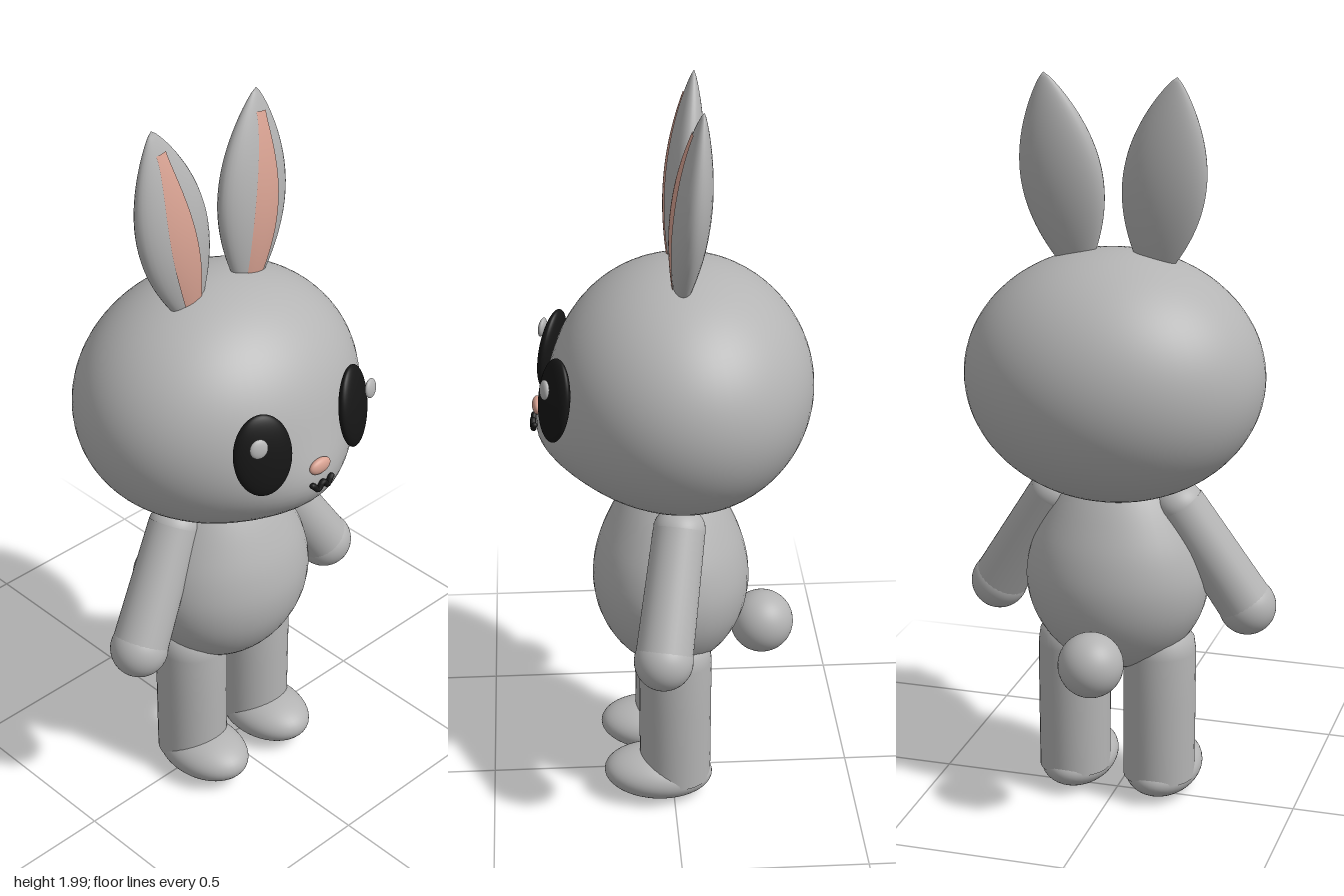
import * as THREE from 'three';
import { mergeVertices } from 'three/addons/utils/BufferGeometryUtils.js';

const mat = (name, color) => {
  const m = new THREE.MeshStandardMaterial({ color });
  m.name = name;
  return m;
};

export function createModel() {
  const grey = mat('grey fur', 0xb4b4b4);
  const pink = mat('pink skin', 0xd8a292);
  const black = mat('black', 0x161616);
  const model = new THREE.Group();
  model.name = 'rabbit';

  const add = (name, geometry, material, pos = [0, 0, 0], parent = model) => {
    const mesh = new THREE.Mesh(geometry, material);
    mesh.name = name;
    mesh.position.set(...pos);
    parent.add(mesh);
    return mesh;
  };
  const ellipsoid = (rx, ry, rz) => new THREE.SphereGeometry(1, 40, 28).scale(rx, ry, rz);
  // Smooth lathe through a few [radius, height] points
  const lathe = (points) => {
    const curve = new THREE.CatmullRomCurve3(points.map(([r, y]) => new THREE.Vector3(r, y, 0)));
    const profile = curve.getPoints(40).map((p) => new THREE.Vector2(Math.max(p.x, 0), p.y));
    return new THREE.LatheGeometry(profile, 40);
  };
  // Recompute smooth normals without a seam
  const smooth = (geometry) => {
    geometry.deleteAttribute('uv');
    geometry.deleteAttribute('normal');
    const merged = mergeVertices(geometry, 1e-5);
    merged.computeVertexNormals();
    return merged;
  };

  // Head: ellipsoid with a soft muzzle pushed forward
  const head = new THREE.SphereGeometry(1, 64, 48).scale(0.4, 0.335, 0.345);
  const hp = head.attributes.position;
  for (let i = 0; i < hp.count; i++) {
    const x = hp.getX(i), y = hp.getY(i), z = hp.getZ(i);
    if (z <= 0) continue;
    const bulge = 0.065 * Math.exp(-0.5 * ((x / 0.15) ** 2 + ((y + 0.15) / 0.09) ** 2));
    hp.setZ(i, z + bulge * Math.min(1, z / 0.15));
  }
  add('head', smooth(head), grey, [0, 1.21, -0.03]);

  // Pear-shaped body
  const body = lathe([[0, 0.385], [0.1, 0.405], [0.18, 0.465], [0.233, 0.55], [0.25, 0.64],
    [0.235, 0.73], [0.195, 0.82], [0.145, 0.9], [0.09, 0.96], [0, 0.99]]);
  add('body', smooth(body.scale(1, 1, 0.85)), grey);
  add('tail', ellipsoid(0.087, 0.087, 0.087), grey, [0, 0.477, -0.252]);

  // Ear: radius along its length, flattened front to back
  const earLength = 0.51, earFlat = 0.45;
  const earRadius = (t) => 0.11 * Math.max(0, Math.sin(Math.PI * (0.09 + 0.91 * t))) ** 0.8;
  const makeEar = () => {
    const profile = [];
    for (let i = 0; i <= 40; i++) {
      const t = i / 40;
      profile.push(new THREE.Vector2(i === 40 ? 0 : earRadius(t), t * earLength));
    }
    return smooth(new THREE.LatheGeometry(profile, 32).scale(1, 1, earFlat));
  };
  // Inner ear: a strip lying on the front of the ear
  const makeInnerEar = (side) => {
    const g = new THREE.PlaneGeometry(2, 1, 10, 30);
    const p = g.attributes.position;
    for (let i = 0; i < p.count; i++) {
      const v = p.getY(i) + 0.5;
      const t = 0.06 + 0.83 * v;
      const r = earRadius(t);
      const width = 0.016 + 0.026 * Math.sin(Math.PI * Math.min(1, 0.18 + 0.85 * v)) ** 1.2;
      const x = p.getX(i) * Math.min(width, r * 0.7) + side * 0.008 * Math.sin(Math.PI * v);
      p.setXYZ(i, x, t * earLength, earFlat * Math.sqrt(Math.max(0, r * r - x * x)) + 0.003);
    }
    g.computeVertexNormals();
    return g;
  };

  for (const side of [1, -1]) {
    const label = side > 0 ? 'left' : 'right';

    // Ears lean outward and slightly back
    const ear = new THREE.Group();
    ear.name = label + 'Ear';
    ear.position.set(side * 0.104, 1.497, -0.02);
    ear.rotation.set(-0.1, 0, -side * 0.14);
    model.add(ear);
    add(label + 'OuterEar', makeEar(), grey, [0, 0, 0], ear);
    add(label + 'InnerEar', makeInnerEar(side), pink, [0, 0, 0], ear);

    // Eyes with a small highlight
    const eye = add(label + 'Eye', ellipsoid(0.078, 0.113, 0.025), black, [side * 0.162, 1.242, 0.307]);
    eye.rotation.set(-0.15, side * 0.4, 0);
    const glint = add(label + 'EyeHighlight', ellipsoid(0.025, 0.026, 0.01), grey, [side * 0.199, 1.29, 0.331]);
    glint.rotation.set(-0.15, side * 0.3, 0);

    // Arm from shoulder to hand
    const shoulder = new THREE.Vector3(side * 0.172, 0.865, -0.012);
    const hand = new THREE.Vector3(side * 0.352, 0.573, 0.04);
    const dir = hand.clone().sub(shoulder);
    const length = dir.length();
    const arm = add(label + 'Arm', new THREE.CylinderGeometry(0.076, 0.069, length, 32, 1, true), grey,
      shoulder.clone().add(hand).multiplyScalar(0.5).toArray());
    arm.quaternion.setFromUnitVectors(new THREE.Vector3(0, 1, 0), dir.normalize());
    add(label + 'Shoulder', ellipsoid(0.069, 0.06, 0.069), grey, shoulder.toArray());
    add(label + 'Hand', ellipsoid(0.078, 0.078, 0.078), grey, hand.toArray());

    // Leg with a domed top, and a foot pointing forward
    const leg = new THREE.LatheGeometry([[0.098, 0.07], [0.099, 0.3], [0.099, 0.44], [0.094, 0.475],
      [0.075, 0.5], [0.04, 0.515], [0, 0.52]].map(([r, y]) => new THREE.Vector2(r, y)), 36);
    add(label + 'Leg', smooth(leg), grey, [side * 0.121, 0, -0.005]);
    const foot = add(label + 'Foot', ellipsoid(0.104, 0.069, 0.15), grey, [side * 0.122, 0.078, 0.042]);
    foot.rotation.x = -0.06;
  }

  // Nose and wavy mouth
  add('nose', ellipsoid(0.035, 0.022, 0.014), pink, [0, 1.155, 0.35]);
  const mouthPoints = [];
  for (let i = 0; i <= 16; i++) {
    const u = i / 8 - 1;
    mouthPoints.push(new THREE.Vector3(u * 0.034, 1.104 + 0.008 * Math.cos(u * Math.PI * 2), 0.363 - 0.004 * u * u));
  }
  const mouthCurve = new THREE.CatmullRomCurve3(mouthPoints);
  add('mouth', new THREE.TubeGeometry(mouthCurve, 40, 0.008, 10), black);
  for (const end of [mouthPoints[0], mouthPoints[16]]) {
    add('mouthCorner', new THREE.SphereGeometry(0.008, 12, 8), black, end.toArray());
  }

  return model;
}
